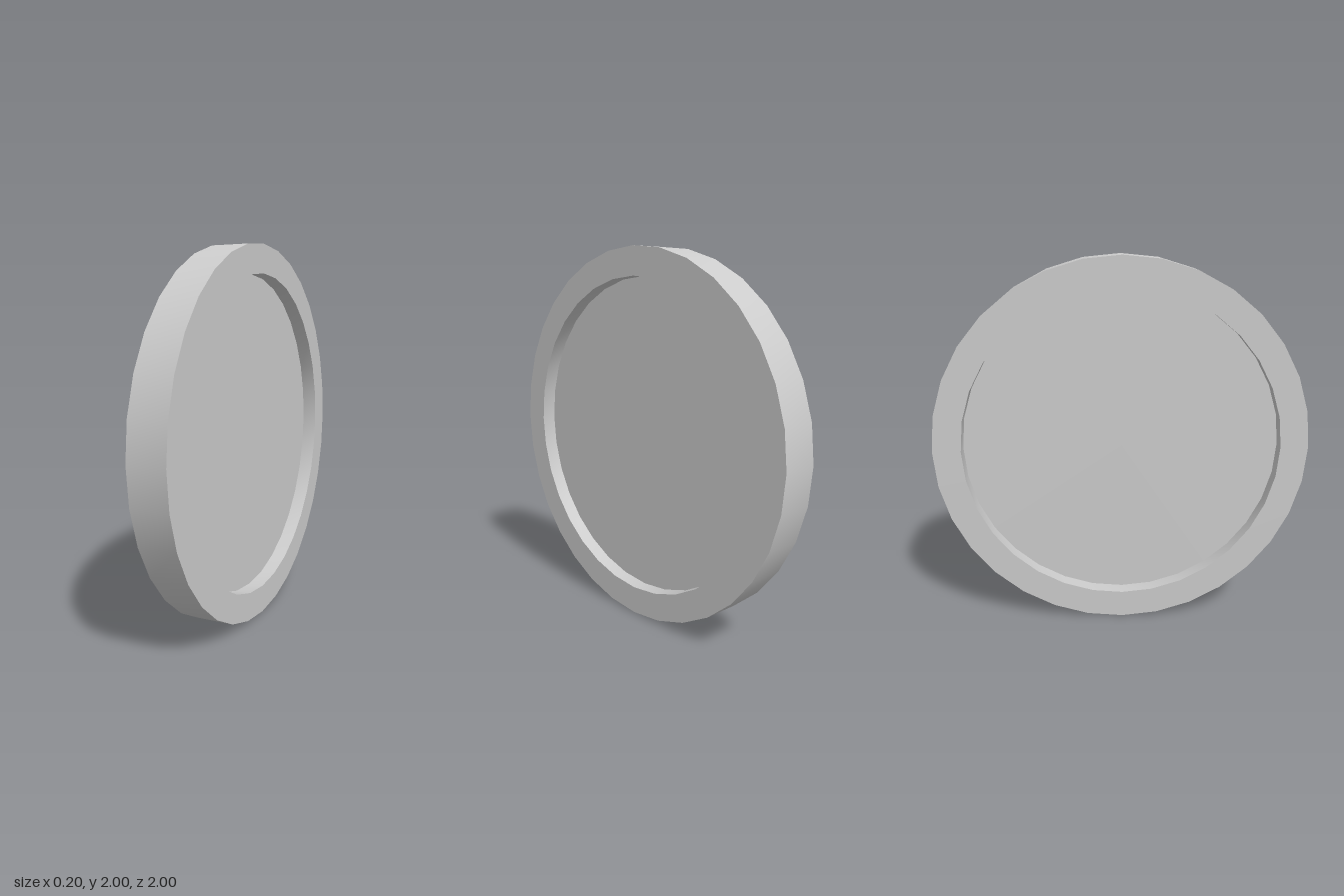
import * as THREE from 'three';
import { toCreasedNormals } from 'three/addons/utils/BufferGeometryUtils.js';

const SIDES = 32;
const OUTER = 1;          // rim radius
const INNER = 0.85;       // recess radius
const HALF_WIDTH = 0.1;   // half the rim thickness
const HALF_PANEL = 0.02;  // half the panel thickness

export function createModel() {
  const model = new THREE.Group();
  model.name = 'recessedDisc';
  const material = new THREE.MeshStandardMaterial({ color: 0xcccccc });

  // Rim: square-edged profile turned round the x axis
  const profile = [
    [INNER, -HALF_PANEL], [INNER, -HALF_WIDTH], [OUTER, -HALF_WIDTH],
    [OUTER, HALF_WIDTH], [INNER, HALF_WIDTH], [INNER, HALF_PANEL],
  ].map(([r, h]) => new THREE.Vector2(r, h));
  const rimGeometry = toCreasedNormals(new THREE.LatheGeometry(profile, SIDES), Math.PI / 6);
  rimGeometry.rotateZ(-Math.PI / 2);
  const rim = new THREE.Mesh(rimGeometry, material);
  rim.name = 'rim';
  rim.position.y = OUTER;
  model.add(rim);

  // Recessed panel faces, one on each side
  for (const side of [1, -1]) {
    const geometry = new THREE.CircleGeometry(INNER, SIDES);
    geometry.rotateY(side * Math.PI / 2);
    const face = new THREE.Mesh(geometry, material);
    face.name = side > 0 ? 'leftPanelFace' : 'rightPanelFace';
    face.position.set(side * HALF_PANEL, OUTER, 0);
    model.add(face);
  }

  return model;
}
